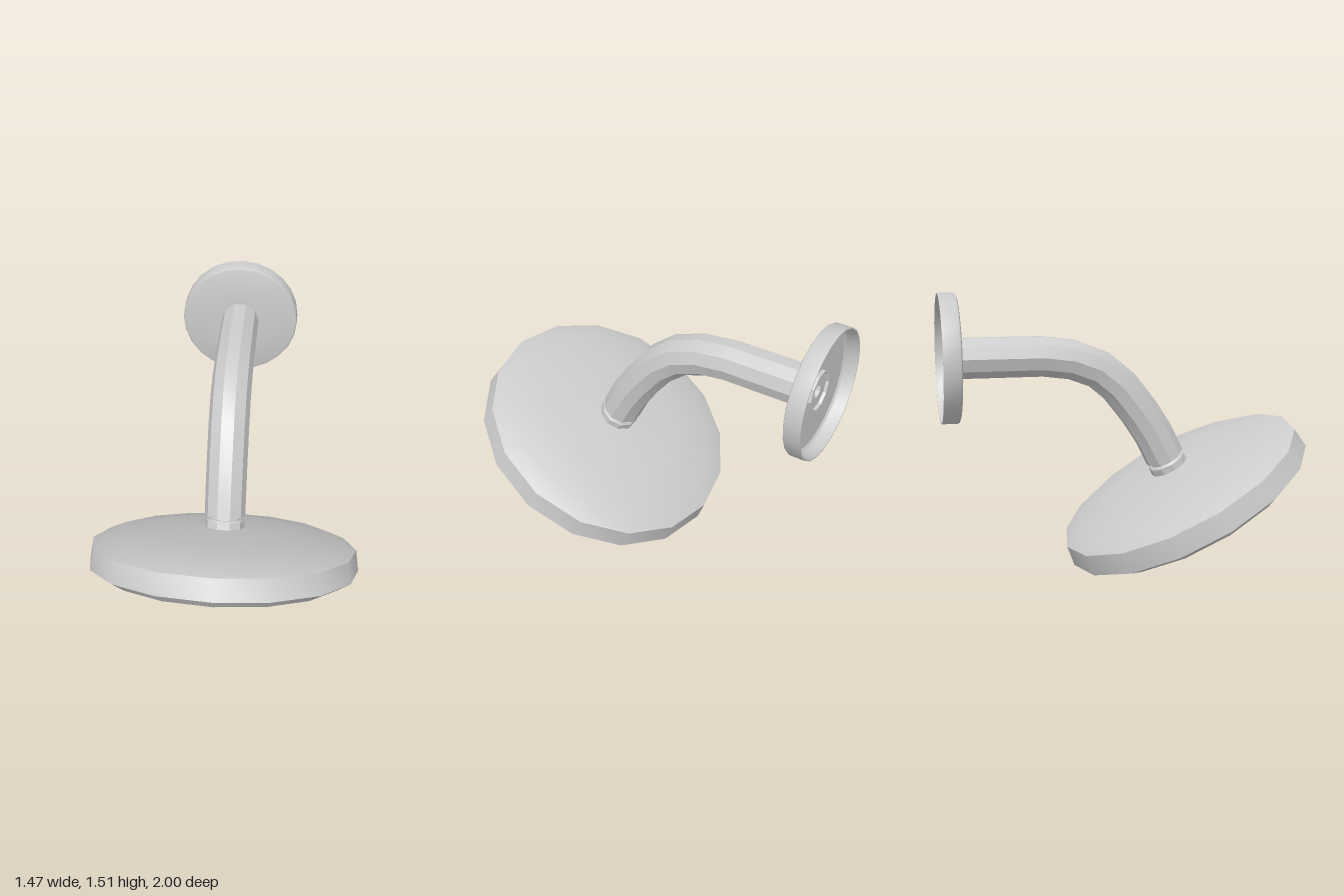
import * as THREE from 'three';
import { toCreasedNormals } from 'three/addons/utils/BufferGeometryUtils.js';

const CREASE = 0.5;

// Lathe from [radius, height] pairs, keeping only sharp edges creased
function turned(name, profile, sides, material, phiStart = 0) {
  const points = profile.map(([r, y]) => new THREE.Vector2(r, y));
  const geometry = new THREE.LatheGeometry(points, sides, phiStart);
  const mesh = new THREE.Mesh(toCreasedNormals(geometry, CREASE), material);
  mesh.name = name;
  return mesh;
}

// Ten-sided pipe swept along a path of [z, y] points in the middle plane
function sweptPipe(path, radius, sides) {
  const positions = [];
  const index = [];
  path.forEach(([z, y], i) => {
    const before = path[Math.max(i - 1, 0)];
    const after = path[Math.min(i + 1, path.length - 1)];
    const slope = Math.atan2(after[1] - before[1], after[0] - before[0]);
    for (let k = 0; k < sides; k++) {
      const a = (k / sides) * Math.PI * 2;
      const up = Math.sin(a) * radius;
      positions.push(Math.cos(a) * radius, y + up * Math.cos(slope), z - up * Math.sin(slope));
      if (i === 0) continue;
      const next = (k + 1) % sides;
      const p = (i - 1) * sides;
      const q = i * sides;
      index.push(p + k, p + next, q + k, p + next, q + next, q + k);
    }
  });
  const geometry = new THREE.BufferGeometry();
  geometry.setAttribute('position', new THREE.Float32BufferAttribute(positions, 3));
  geometry.setIndex(index);
  return toCreasedNormals(geometry, CREASE);
}

export function createModel() {
  const model = new THREE.Group();
  model.name = 'showerHead';
  const metal = new THREE.MeshStandardMaterial({ color: 0xcccccc, side: THREE.DoubleSide });
  metal.name = 'brushed metal';

  // Wall flange: shallow cup open at the back, with the pipe inlet in its middle
  const wallMount = new THREE.Group();
  wallMount.name = 'wallMount';
  wallMount.position.set(0, 1.175, -1);
  wallMount.rotation.x = Math.PI / 2;
  wallMount.add(
    turned('flange', [
      [0.1, 0.075], [0.315, 0.075], [0.328, 0.065], [0.333, 0], [0.34, 0],
      [0.34, 0.08], [0.336, 0.09], [0.325, 0.095], [0.1, 0.095],
    ], 24, metal),
    turned('inlet', [
      [0, 0.11], [0.038, 0.11], [0.038, 0.07], [0.095, 0.07], [0.1, 0.055], [0.11, 0.055],
      [0.11, 0.1],
    ], 10, metal, Math.PI / 2),
  );
  model.add(wallMount);

  // Curved arm
  const armPath = [
    [-0.92, 1.176], [-0.46, 1.176], [-0.3, 1.155], [-0.155, 1.1],
    [-0.04, 1.005], [0.07, 0.865], [0.155, 0.735], [0.222, 0.6],
  ];
  const arm = new THREE.Mesh(sweptPipe(armPath, 0.11, 10), metal);
  arm.name = 'arm';
  model.add(arm);

  // Tilted spray head with its neck and recessed face
  const head = new THREE.Group();
  head.name = 'head';
  head.position.set(0, 0.226, 0.42);
  head.rotation.x = -0.494;
  head.add(
    turned('sprayFace', [[0, 0.15], [0.6, 0.15]], 16, metal),
    turned('headShell', [
      [0.6, 0.15], [0.615, 0.142], [0.625, 0.115], [0.64, 0.104], [0.66, 0.104],
      [0.733, 0.148], [0.717, 0.262], [0.62, 0.303], [0.4, 0.335], [0.1, 0.358], [0, 0.36],
    ], 16, metal),
    turned('neck', [
      [0.108, 0.335], [0.108, 0.395], [0.1, 0.405], [0.088, 0.405], [0.088, 0.43], [0, 0.43],
    ], 10, metal, Math.PI / 2),
  );
  model.add(head);

  return model;
}
